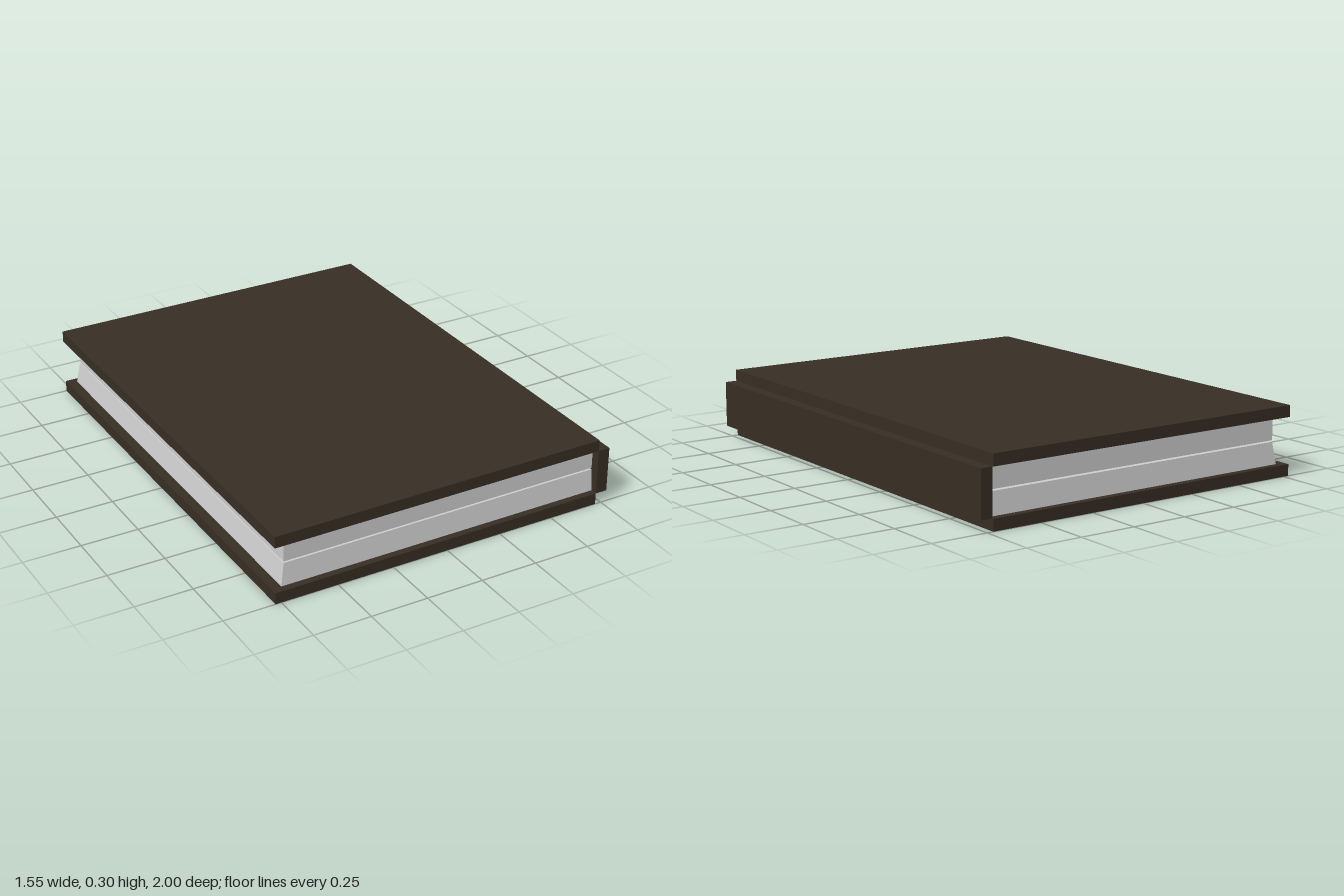
import * as THREE from 'three';

export function createModel() {
  const book = new THREE.Group();
  book.name = 'book';

  const leather = new THREE.MeshStandardMaterial({ color: 0x382e24 });
  leather.name = 'dark brown cover';
  const paper = new THREE.MeshStandardMaterial({ color: 0xcfcfcf });
  paper.name = 'light grey paper';

  // Box given by its lower and upper limits on each axis
  function slab(name, material, [x0, x1], [y0, y1], [z0, z1]) {
    const geometry = new THREE.BoxGeometry(x1 - x0, y1 - y0, z1 - z0);
    geometry.translate((x0 + x1) / 2, (y0 + y1) / 2, (z0 + z1) / 2);
    const mesh = new THREE.Mesh(geometry, material);
    mesh.name = name;
    book.add(mesh);
    return mesh;
  }

  // Cover boards and the spine between them, set to the outside
  const boardX = [-0.775, 0.722];
  slab('bottomCover', leather, boardX, [0, 0.05], [-1, 1]);
  slab('topCover', leather, boardX, [0.25, 0.3], [-1, 1]);
  slab('spine', leather, [0.722, 0.775], [0.05, 0.25], [-0.996, 1]);

  // Two page blocks with a fine gap between them
  const pageX = [-0.717, 0.722];
  const pageZ = [-0.96, 0.96];
  slab('upperPages', paper, pageX, [0.152, 0.25], pageZ);
  const lower = slab('lowerPages', paper, pageX, [0.05, 0.145], pageZ);

  // Flare the foot of the lower block outwards on its open edges
  const position = lower.geometry.attributes.position;
  for (let i = 0; i < position.count; i++) {
    if (position.getY(i) > 0.1) continue;
    if (position.getX(i) < 0) position.setX(i, -0.733);
    position.setZ(i, Math.sign(position.getZ(i)) * 0.97);
  }
  lower.geometry.computeVertexNormals();

  return book;
}
